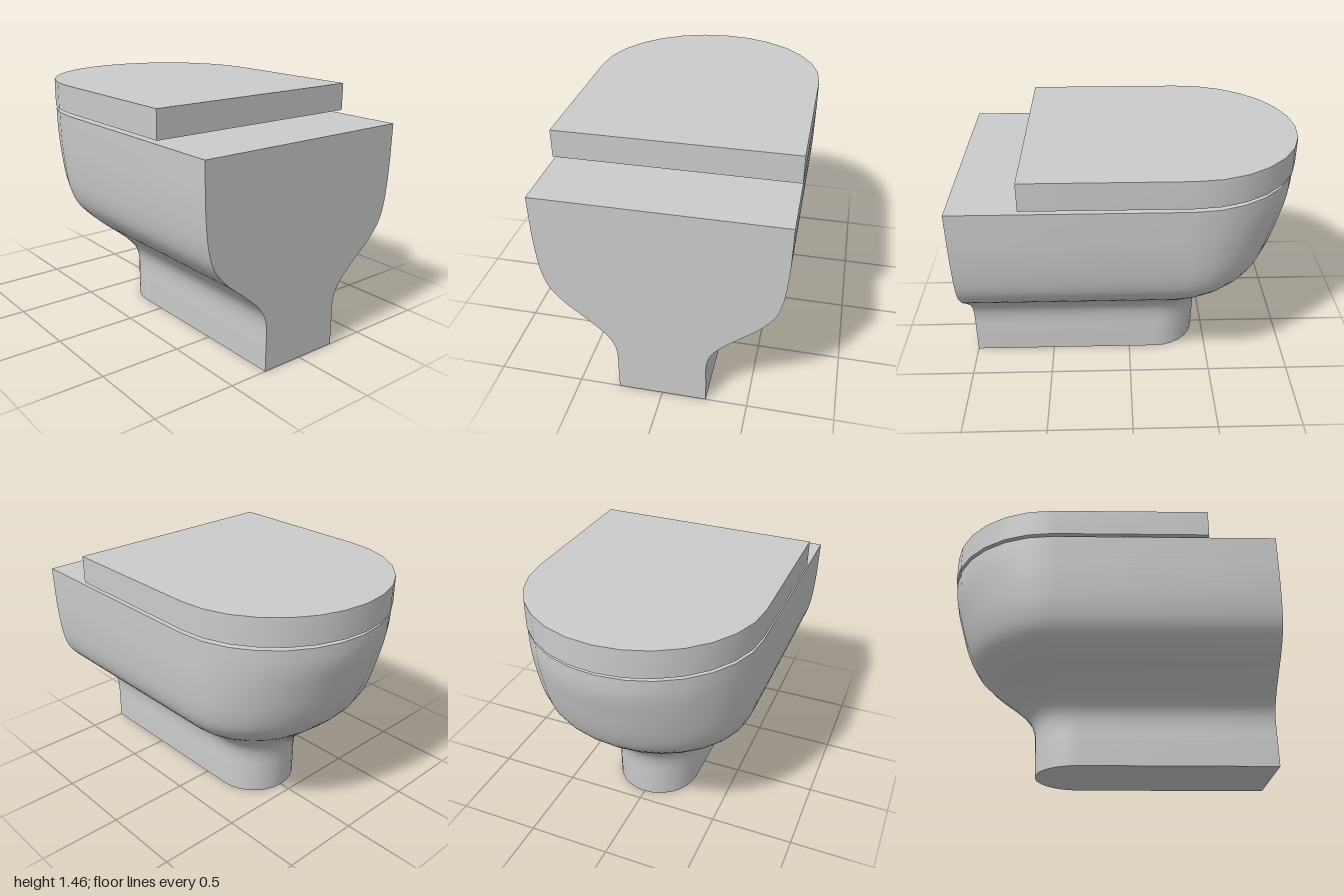
import * as THREE from 'three';
import { toCreasedNormals } from 'three/addons/utils/BufferGeometryUtils.js';

const ARC = 14; // segments around the rounded back

// Outline with a square front end and a half-ellipse back, counterclockwise from above
function outline({ y, w, front, arcStart, tip }) {
  const pts = [[w, y, front]];
  for (let i = 0; i <= ARC; i++) {
    const a = (Math.PI * i) / ARC;
    pts.push([w * Math.cos(a), y, arcStart + (tip - arcStart) * Math.sin(a)]);
  }
  pts.push([-w, y, front]);
  return pts;
}

// Skin stacked outlines and close both ends
function loft(sections, crease) {
  const rings = sections.map(outline);
  const n = rings[0].length;
  const top = rings.length - 1;
  const positions = rings.flat(2);
  const index = [];
  for (let r = 0; r < top; r++) {
    for (let i = 0; i < n; i++) {
      const j = (i + 1) % n;
      const a = r * n + i, b = r * n + j;
      index.push(a, b, b + n, a, b + n, a + n);
    }
  }
  const bottomCentre = rings.length * n;
  positions.push(0, sections[0].y, 0, 0, sections[top].y, 0);
  for (let i = 0; i < n; i++) {
    const j = (i + 1) % n;
    index.push(bottomCentre, j, i, bottomCentre + 1, top * n + i, top * n + j);
  }
  const geometry = new THREE.BufferGeometry();
  geometry.setAttribute('position', new THREE.Float32BufferAttribute(positions, 3));
  geometry.setIndex(index);
  return toCreasedNormals(geometry, crease);
}

export function createModel() {
  const group = new THREE.Group();
  group.name = 'toilet';
  const material = new THREE.MeshStandardMaterial({ color: 0xcccccc });
  const add = (name, geometry) => {
    const mesh = new THREE.Mesh(geometry, material);
    mesh.name = name;
    group.add(mesh);
  };

  // Bowl and pedestal: half width, height, back tip
  const profile = new THREE.CatmullRomCurve3([
    [0.26, 0, -0.43], [0.26, 0.14, -0.435], [0.26, 0.26, -0.44],
    [0.275, 0.33, -0.46], [0.32, 0.4, -0.51], [0.43, 0.5, -0.615],
    [0.55, 0.6, -0.735], [0.63, 0.7, -0.83], [0.665, 0.81, -0.885],
    [0.685, 1, -0.945], [0.69, 1.16, -0.985], [0.692, 1.275, -0.99],
  ].map((p) => new THREE.Vector3(...p)));
  const bowlSections = profile.getPoints(44).map((p) => ({
    y: p.y, w: p.x, front: 1, tip: p.z,
    arcStart: THREE.MathUtils.mapLinear(p.x, 0.26, 0.69, -0.17, -0.33),
  }));
  add('bowl', loft(bowlSections, 0.7));

  // Flat slab lid, floating just above the rim
  const lid = { w: 0.693, front: 0.605, arcStart: -0.33, tip: -1 };
  add('lid', loft([{ ...lid, y: 1.295 }, { ...lid, y: 1.46 }], 0.7));

  return group;
}
